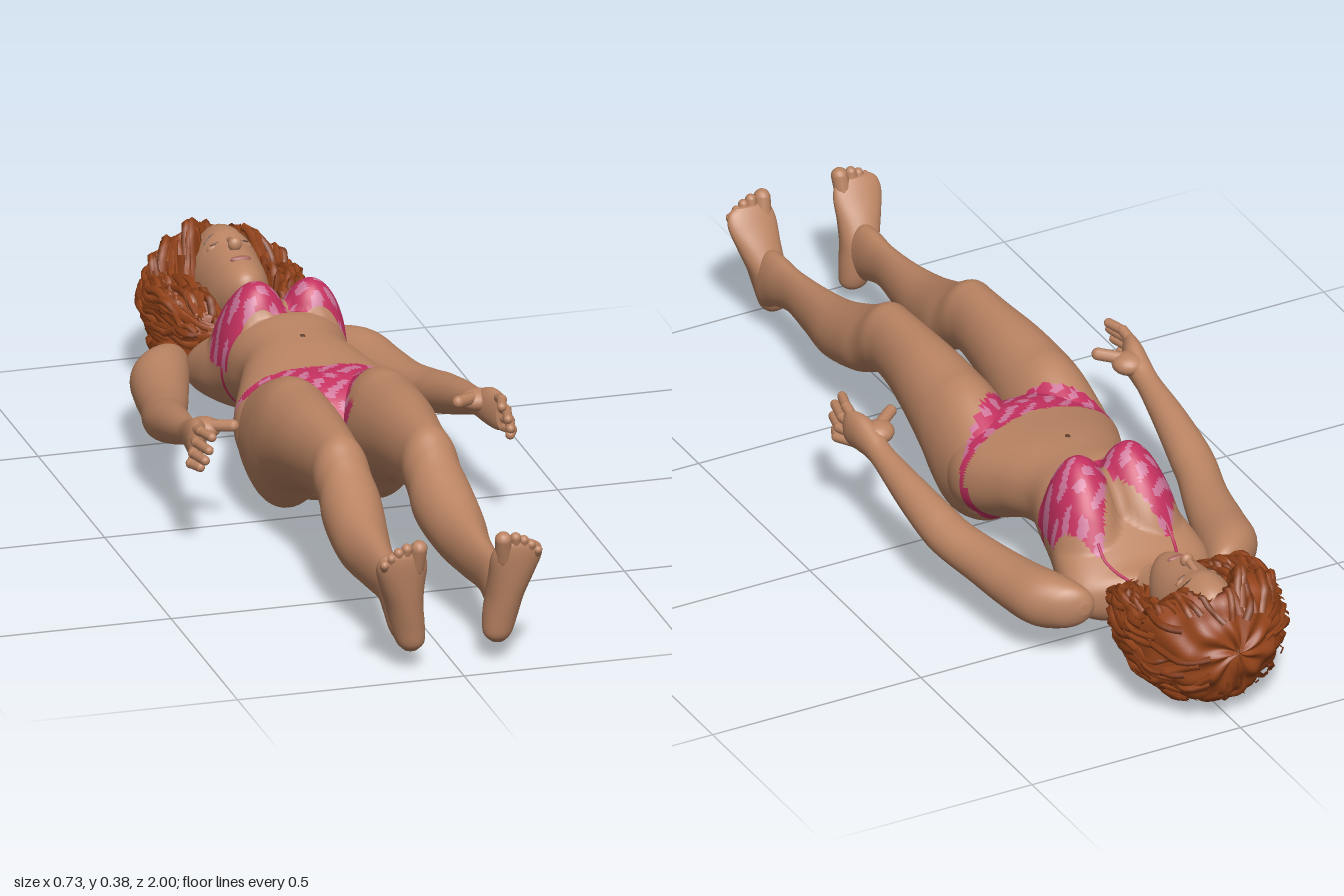
import * as THREE from 'three';

const mat = (name, color) => Object.assign(new THREE.MeshStandardMaterial({ color }), { name });
const skin = mat('skin', 0xbb8463), pink = mat('pink fabric', 0xc4305f), pale = mat('pale fabric print', 0xcb7398);
const hairMat = mat('auburn hair', 0x95441a), strandMat = mat('dark auburn strand', 0x843a14);
const dark = mat('dark brown', 0x5f3f2c), lip = mat('lip', 0xa5645a);
const painted = [skin, pink, pale];
const { lerp, smoothstep, clamp } = THREE.MathUtils;

function add(parent, name, geo, material) {
  const m = new THREE.Mesh(geo, material);
  m.name = name;
  parent.add(m);
}
function group(parent, name) {
  const g = new THREE.Group();
  g.name = name;
  parent.add(g);
  return g;
}

const catmull = (a, b, c, d, t) =>
  0.5 * (2 * b + (c - a) * t + (2 * a - 5 * b + 4 * c - d) * t * t + (3 * b - a - 3 * c + d) * t * t * t);

// Smooth closed body through elliptical sections [t, centreA, centreB, radiusA, radiusB]
function loft(sections, { axis = 'z', seg = 32, sub = 6, side = 1, pow = 1 } = {}) {
  const n = sections.length, tip = s => [s[0], s[1], s[2], 0.0005, 0.0005];
  const rows = [tip(sections[0])], pos = [], idx = [];
  for (let i = 0; i < n - 1; i++) {
    const [p0, p1, p2, p3] = [-1, 0, 1, 2].map(k => sections[Math.min(n - 1, Math.max(0, i + k))]);
    for (let s = 0; s < sub; s++) rows.push(p1.map((_, k) => catmull(p0[k], p1[k], p2[k], p3[k], s / sub)));
  }
  rows.push(sections[n - 1], tip(sections[n - 1]));
  const f = v => Math.sign(v) * Math.abs(v) ** pow;
  rows.forEach(([t, a, b, ra, rb], i) => {
    for (let j = 0; j < seg; j++) {
      const th = j / seg * Math.PI * 2, c = f(Math.cos(th)), s = f(Math.sin(th));
      if (axis === 'z') pos.push(a * side + ra * c, b + rb * s, t);
      else pos.push(a * side + ra * s, t, b + rb * c);
      const p = i * seg + j, q = i * seg + (j + 1) % seg;
      if (i < rows.length - 1) idx.push(p, q, p + seg, q, q + seg, p + seg);
    }
  });
  const g = new THREE.BufferGeometry();
  g.setAttribute('position', new THREE.Float32BufferAttribute(pos, 3));
  g.setIndex(idx);
  g.computeVertexNormals();
  return g;
}

// Sorts faces into skin, fabric and print groups by a rule on the face centre
function paint(g, rule) {
  const p = g.attributes.position, ix = g.index.array, sets = [[], [], []];
  for (let i = 0; i < ix.length; i += 3) {
    const t = [ix[i], ix[i + 1], ix[i + 2]];
    const [x, y, z] = ['getX', 'getY', 'getZ'].map(f => (p[f](t[0]) + p[f](t[1]) + p[f](t[2])) / 3);
    const print = Math.sin(x * 130 + Math.sin(z * 90) * 2) + Math.sin(z * 150 + x * 80) > 0.45;
    sets[rule(x, y, z) ? (print && y > 0.2 ? 2 : 1) : 0].push(...t);
  }
  g.setIndex(sets.flat());
  sets.reduce((start, s, i) => { g.addGroup(start, s.length, i); return start + s.length; }, 0);
  return g;
}

// Area of the bikini bottom: front triangle, waist string, seat triangle
function bottoms(x, y, z) {
  const dx = Math.abs(x - 0.008);
  if (z < -0.122 || z > 0.085) return false;
  if (y > 0.18) return z > -0.11 + 0.025 * Math.max(0, 1 - dx / 0.15) && dx < Math.max(1.25 * (0.05 - z), 0.017);
  return z < -0.098 || dx < 0.017 + 1.2 * Math.max(0, -z - 0.045);
}

// Area of the bikini top: two triangular cups and a thin back band
function top(x, y, z) {
  const s = x > 0.016 ? 1 : -1, d = Math.abs(x - 0.016) - 0.082;
  const cup = y > 0.2 && z > -0.555 && z < -0.362 && d > -0.076 && Math.abs(d) < 0.6 * (z + 0.56) + 0.004;
  return cup || Math.abs(z + 0.388 - s * 0.002) < 0.006;
}

const ellipsoid = (c, r, rot = [0, 0, 0]) =>
  new THREE.SphereGeometry(1, 18, 14).applyMatrix4(new THREE.Matrix4().compose(new THREE.Vector3(...c),
    new THREE.Quaternion().setFromEuler(new THREE.Euler(...rot)), new THREE.Vector3(...r)));
const tube = (pts, r, n = 16, k = 6) =>
  new THREE.TubeGeometry(new THREE.CatmullRomCurve3(pts.map(p => new THREE.Vector3(...p))), n, r, k);

// Round-ended finger or toe between two points
function digit(a, b, r) {
  const A = new THREE.Vector3(...a), d = new THREE.Vector3(...b).sub(A), m = A.addScaledVector(d, 0.5);
  return new THREE.CapsuleGeometry(r, d.length(), 5, 10)
    .applyQuaternion(new THREE.Quaternion().setFromUnitVectors(new THREE.Vector3(0, 1, 0), d.clone().normalize()))
    .translate(m.x, m.y, m.z);
}

function buildTorso(root) {
  const g = loft([
    [-0.645, 0.012, 0.15, 0.05, 0.05], [-0.6, 0.01, 0.138, 0.14, 0.068], [-0.56, 0.01, 0.142, 0.168, 0.083],
    [-0.5, 0.01, 0.16, 0.163, 0.1], [-0.43, 0.01, 0.186, 0.145, 0.113], [-0.36, 0.01, 0.211, 0.134, 0.113],
    [-0.28, 0.006, 0.219, 0.124, 0.102], [-0.2, 0.004, 0.212, 0.15, 0.104], [-0.1, 0.004, 0.183, 0.19, 0.122],
    [-0.03, 0.003, 0.168, 0.185, 0.132], [0.03, 0.003, 0.158, 0.15, 0.112], [0.075, 0.003, 0.155, 0.05, 0.06],
  ], { seg: 120, sub: 12, pow: 0.9 });
  // Raise the bust out of the chest
  const p = g.attributes.position;
  for (let i = 0; i < p.count; i++) {
    const x = p.getX(i), y = p.getY(i), z = p.getZ(i);
    const dx = (Math.abs(x - 0.016) - 0.074) / 0.08, dz = (z + 0.425) / (z < -0.425 ? 0.125 : 0.072);
    const k = Math.max(0, 1 - dx * dx - dz * dz);
    p.setY(i, y + 0.084 * k ** 0.8 * clamp((y - 0.17) / 0.07, 0, 1));
  }
  g.computeVertexNormals();
  add(root, 'torso', paint(g, (x, y, z) => bottoms(x, y, z) || top(x, y, z)), painted);
  add(root, 'neck', loft([[-0.74, 0.02, 0.17, 0.05, 0.055], [-0.67, 0.016, 0.16, 0.048, 0.056],
    [-0.63, 0.013, 0.148, 0.065, 0.058], [-0.58, 0.012, 0.14, 0.11, 0.06]]), skin);
  add(root, 'navel', ellipsoid([0.006, 0.317, -0.235], [0.006, 0.004, 0.009]), dark);
  for (const s of [1, -1])
    add(root, 'halter string', tube([[0.016 + s * 0.083, 0.243, -0.545], [0.016 + s * 0.083, 0.217, -0.575],
      [0.015 + s * 0.072, 0.2, -0.61], [0.016 + s * 0.055, 0.19, -0.645], [0.016 + s * 0.048, 0.165, -0.68]], 0.0035), pink);
}

function buildLeg(root, s) {
  const leg = group(root, s > 0 ? 'leftLeg' : 'rightLeg');
  const g = loft([
    [-0.13, 0.1, 0.18, 0.06, 0.08], [-0.08, 0.1, 0.172, 0.085, 0.115], [0, 0.1, 0.177, 0.093, 0.147],
    [0.05, 0.1, 0.194, 0.093, 0.142], [0.1, 0.1, 0.217, 0.09, 0.119], [0.2, 0.1, 0.242, 0.078, 0.099],
    [0.3, 0.098, 0.252, 0.065, 0.088], [0.37, 0.098, 0.254, 0.059, 0.084], [0.41, 0.098, 0.248, 0.061, 0.085],
    [0.45, 0.098, 0.225, 0.061, 0.083], [0.5, 0.1, 0.2, 0.066, 0.08], [0.6, 0.107, 0.17, 0.058, 0.07],
    [0.7, 0.108, 0.16, 0.041, 0.06], [0.8, 0.11, 0.157, 0.03, 0.052], [0.87, 0.112, 0.147, 0.033, 0.062],
    [0.91, 0.112, 0.132, 0.034, 0.07], [0.935, 0.112, 0.12, 0.026, 0.05],
  ], { side: s, seg: 56, sub: 6 });
  add(leg, 'leg', paint(g, bottoms), painted);
  add(leg, 'foot', loft([
    [0.045, 0.096, 0.925, 0.014, 0.012], [0.062, 0.096, 0.922, 0.03, 0.029], [0.1, 0.102, 0.92, 0.037, 0.04],
    [0.15, 0.111, 0.925, 0.041, 0.046], [0.2, 0.12, 0.942, 0.049, 0.038], [0.245, 0.126, 0.96, 0.056, 0.026],
    [0.272, 0.127, 0.97, 0.05, 0.017], [0.285, 0.125, 0.974, 0.034, 0.01],
  ], { axis: 'y', side: s }), skin);
  [[0.093, 0.292, 0.0185], [0.12, 0.294, 0.012], [0.138, 0.287, 0.011], [0.154, 0.276, 0.0105], [0.169, 0.262, 0.01]]
    .forEach(([x, y, r]) => add(leg, 'toe', digit([s * (x * 0.9 + 0.013), 0.245, 0.965], [s * x, y, 0.978], r), skin));
}

function buildArm(root, s) {
  const arm = group(root, s > 0 ? 'leftArm' : 'rightArm');
  add(arm, 'arm', loft([
    [-0.622, 0.17, 0.14, 0.012, 0.012], [-0.612, 0.178, 0.14, 0.035, 0.036], [-0.59, 0.194, 0.139, 0.053, 0.052],
    [-0.54, 0.22, 0.137, 0.066, 0.062], [-0.45, 0.243, 0.136, 0.061, 0.056], [-0.35, 0.266, 0.142, 0.053, 0.05],
    [-0.26, 0.292, 0.156, 0.049, 0.047], [-0.2, 0.302, 0.17, 0.046, 0.047], [-0.1, 0.312, 0.196, 0.037, 0.04],
    [0, 0.318, 0.222, 0.027, 0.03], [0.04, 0.32, 0.234, 0.026, 0.033], [0.085, 0.325, 0.243, 0.026, 0.042],
    [0.12, 0.333, 0.243, 0.02, 0.043], [0.138, 0.336, 0.243, 0.012, 0.036],
  ], { side: s }), skin);
  [[0.32, 0.28, 0.192], [0.33, 0.256, 0.205], [0.337, 0.232, 0.2], [0.342, 0.21, 0.18]].forEach(([x, y, z], i) => {
    const knuckle = [s * (x + 0.012), y, 0.152];
    add(arm, 'finger base', digit([s * 0.334, 0.272 - i * 0.02, 0.115], knuckle, 0.0115), skin);
    add(arm, 'fingertip', digit(knuckle, [s * x, y, z], 0.0105), skin);
  });
  add(arm, 'thumbBase', ellipsoid([s * 0.3, 0.253, 0.066], [0.036, 0.024, 0.034], [0, s * 0.5, 0]), skin);
  add(arm, 'thumb', digit([s * 0.29, 0.262, 0.078], [s * 0.249, 0.268, 0.108], 0.0135), skin);
}

function buildHead(root) {
  const head = group(root, 'head'), cx = 0.022;
  add(head, 'face', loft([
    [-0.975, cx, 0.2, 0.03, 0.05], [-0.94, cx, 0.2, 0.062, 0.108], [-0.88, cx, 0.2, 0.076, 0.124],
    [-0.83, cx, 0.2, 0.075, 0.112], [-0.77, cx, 0.21, 0.067, 0.093], [-0.725, cx, 0.232, 0.05, 0.062],
    [-0.7, cx, 0.246, 0.03, 0.036], [-0.69, cx, 0.248, 0.015, 0.018],
  ]), skin);
  add(head, 'noseBridge', digit([cx, 0.307, -0.85], [cx, 0.319, -0.802], 0.008), skin);
  add(head, 'noseTip', ellipsoid([cx, 0.316, -0.8], [0.015, 0.016, 0.012]), skin);
  add(head, 'lips', ellipsoid([cx, 0.298, -0.757], [0.023, 0.007, 0.008]), lip);
  add(head, 'chin', ellipsoid([cx, 0.266, -0.716], [0.024, 0.018, 0.022]), skin);
  for (const s of [1, -1]) {
    add(head, 'eyelid', ellipsoid([cx + s * 0.031, 0.293, -0.845], [0.019, 0.012, 0.012], [0, 0, -s * 0.25]), skin);
    add(head, 'eye', ellipsoid([cx + s * 0.031, 0.3035, -0.841], [0.012, 0.0035, 0.0025], [0.1, 0, -s * 0.25]), dark);
    add(head, 'eyebrow', tube([[cx + s * 0.015, 0.317, -0.866], [cx + s * 0.032, 0.311, -0.872],
      [cx + s * 0.05, 0.294, -0.866]], 0.002), dark);
  }
}

// Hair surface: angle a around the z axis, polar angle p from the crown, opened in front for the face
function hairPoint(a, p, lift) {
  const wave = 1 + lift + 0.025 * Math.sin(9 * a + 2 * Math.sin(p * 4)) + 0.015 * Math.sin(p * 13 + a * 4);
  const r = Math.sin(p) ** (p < Math.PI / 2 ? 0.8 : 0.5) * wave;
  const x = 0.168 * r * Math.cos(a), z = -0.815 - 0.178 * Math.cos(p) * wave;
  const limit = lerp(0.235, 0.365, smoothstep(-z, 0.84, 0.93)) - 0.05 * smoothstep(z, -0.74, -0.64)
    + lift * 0.25 + 0.008 * Math.sin(a * 25 + p * 15);
  const inFace = ((x - 0.022) / 0.084) ** 2 + ((z + 0.785) / 0.15) ** 2 < 1;
  return [x, Math.min(0.182 + 0.168 * r * Math.sin(a), limit, inFace ? 0.19 : 1), z];
}

function buildHair(root) {
  const hair = group(root, 'hair');
  const g = new THREE.SphereGeometry(1, 104, 60), p = g.attributes.position, uv = g.attributes.uv;
  for (let i = 0; i < p.count; i++)
    p.setXYZ(i, ...hairPoint(-uv.getX(i) * Math.PI * 2, clamp((1 - uv.getY(i)) * Math.PI, 0.0005, 3.141), 0));
  g.computeVertexNormals();
  add(hair, 'hairMass', g, hairMat);
  // Wavy locks running from the crown to the shoulders
  let seed = 7;
  const rnd = () => (seed = (seed * 16807) % 2147483647) / 2147483647;
  for (let i = 0; i < 110; i++) {
    const a = i / 110 * Math.PI * 2, start = 0.3 + rnd() * 1.1, end = 2.1 + rnd() * 0.7, ph = rnd() * 6.3;
    const pts = Array.from({ length: 13 }, (_, k) => {
      const q = start + (end - start) * k / 12;
      return hairPoint(a + 0.08 * Math.sin(q * 5 + ph), q, 0.008 + 0.022 * Math.sin(q * 7 + ph));
    });
    add(hair, 'lock', tube(pts, 0.007 + rnd() * 0.004, 24, 5), i % 3 ? hairMat : strandMat);
  }
}

export function createModel() {
  const root = new THREE.Group();
  root.name = 'lyingWoman';
  buildTorso(root);
  for (const s of [1, -1]) {
    buildLeg(root, s);
    buildArm(root, s);
  }
  buildHead(root);
  buildHair(root);
  return root;
}
